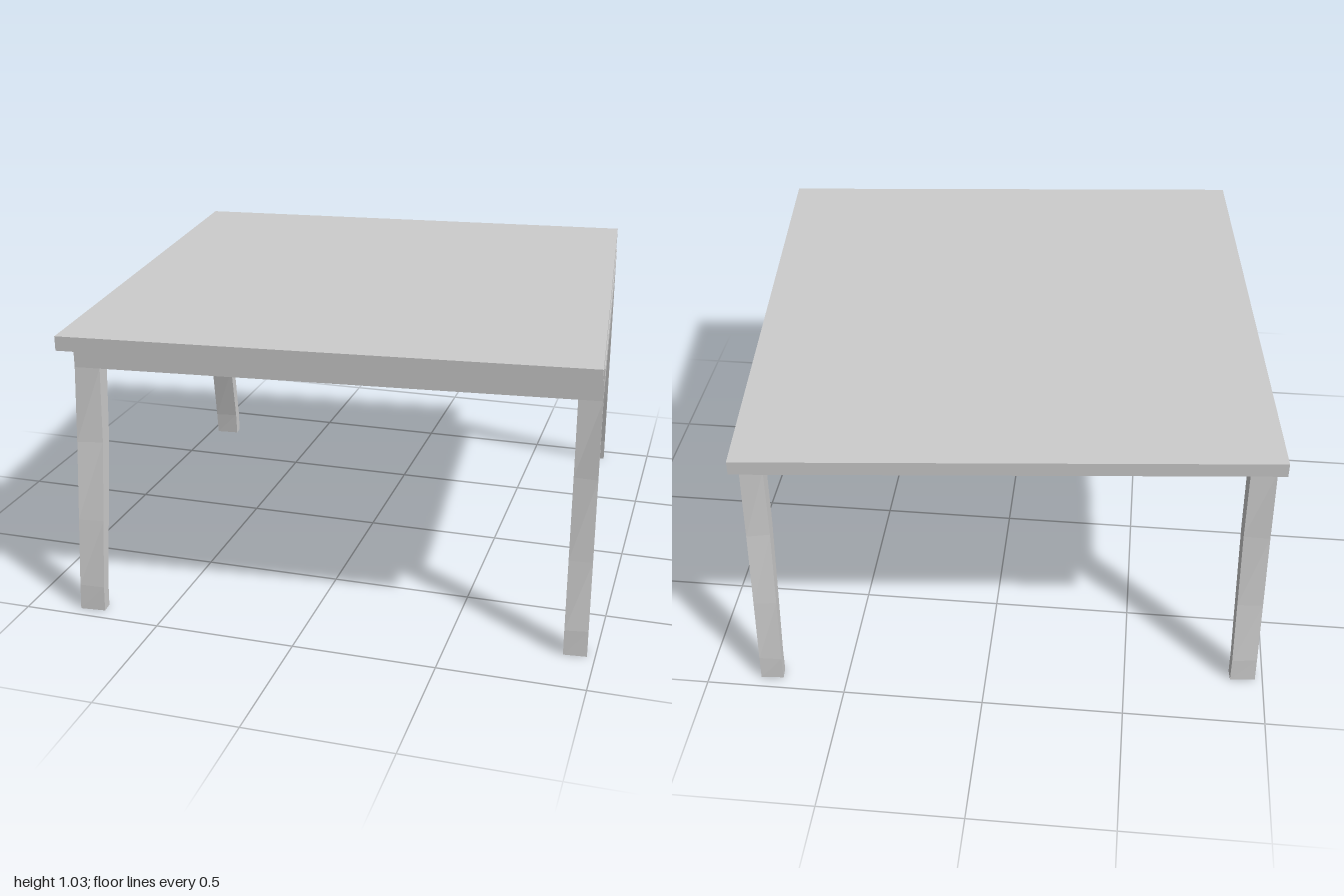
import * as THREE from 'three';

const material = new THREE.MeshStandardMaterial({ color: 0xcccccc, flatShading: true });

// Main sizes
const TOP_X = 0.893, TOP_Z = 0.919;      // half sizes of the table top
const FRAME_X = 0.896, FRAME_Z = 0.767;  // half sizes of the apron frame
const APRON_LOW = 0.875, TOP_LOW = 0.985, TOP_HIGH = 1.035;
const BOARD = 0.004;                     // thin apron boards

function box(name, w, h, d, x, y, z) {
  const mesh = new THREE.Mesh(new THREE.BoxGeometry(w, h, d), material);
  mesh.name = name;
  mesh.position.set(x, y, z);
  return mesh;
}

// Splayed, tapering leg; its rows run from the apron to the foot.
// The side facing the middle of the table bends more than the outer side.
const ROWS = [[APRON_LOW, 0], [0.61, -0.015], [0.33, -0.004], [0.09, 0.007], [0, 0]];

function legGeometry(width, sx, sz) {
  const geometry = new THREE.BoxGeometry(2, ROWS.length - 1, 2, 1, ROWS.length - 1, 1);
  const pos = geometry.attributes.position;
  for (let i = 0; i < pos.count; i++) {
    const [y, bend] = ROWS[Math.round((ROWS.length - 1) / 2 - pos.getY(i))];
    const t = 1 - y / APRON_LOW;
    const outerX = pos.getX(i) * sx > 0, outerZ = pos.getZ(i) * sz > 0;
    const z = outerZ ? THREE.MathUtils.lerp(FRAME_Z, 0.88, t) : THREE.MathUtils.lerp(0.7, 0.838, t);
    pos.setXYZ(i, sx * (outerX ? FRAME_X : FRAME_X - width), y, sz * (z + bend * (outerX ? 0.3 : 1)));
  }
  geometry.computeVertexNormals();
  return geometry;
}

export function createModel() {
  const table = new THREE.Group();
  table.name = 'table';

  // Top slab
  table.add(box('tableTop', TOP_X * 2, TOP_HIGH - TOP_LOW, TOP_Z * 2, 0, (TOP_LOW + TOP_HIGH) / 2, 0));

  // Apron boards under the top
  const h = TOP_LOW - APRON_LOW, y = (TOP_LOW + APRON_LOW) / 2;
  for (const s of [1, -1]) {
    table.add(box(s > 0 ? 'frontApron' : 'backApron', FRAME_X * 2, h, BOARD, 0, y, s * (FRAME_Z - BOARD / 2)));
    table.add(box(s > 0 ? 'leftApron' : 'rightApron', BOARD, h, (FRAME_Z - BOARD) * 2, s * (FRAME_X - BOARD / 2), y, 0));
  }

  // Four legs, splayed towards front and back; the right pair is a little wider
  for (const sz of [1, -1]) {
    for (const sx of [1, -1]) {
      const leg = new THREE.Mesh(legGeometry(sx > 0 ? 0.08 : 0.09, sx, sz), material);
      leg.name = (sz > 0 ? 'front' : 'back') + (sx > 0 ? 'Left' : 'Right') + 'Leg';
      table.add(leg);
    }
  }

  // The whole table stands slightly turned
  table.rotation.y = 0.092;
  const model = new THREE.Group();
  model.name = 'model';
  model.add(table);
  return model;
}
